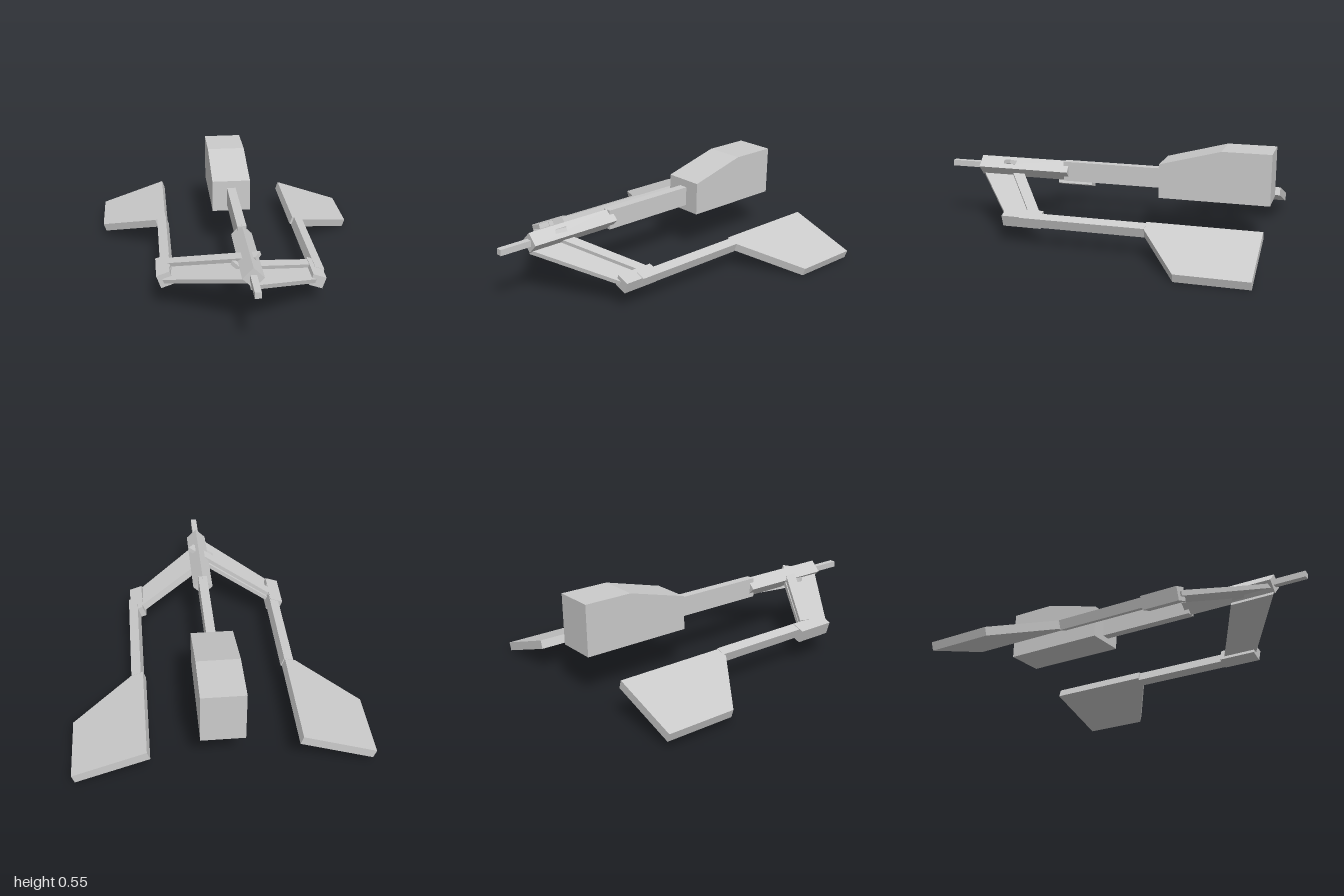
import * as THREE from 'three';

const material = new THREE.MeshStandardMaterial({ color: 0xcccccc, flatShading: true });

function add(parent, name, geometry, x = 0, y = 0, z = 0) {
  const mesh = new THREE.Mesh(geometry, material);
  mesh.name = name;
  mesh.position.set(x, y, z);
  parent.add(mesh);
  return mesh;
}

// Box running from z0 to z1
function beam(parent, name, w, h, z0, z1, x, y) {
  return add(parent, name, new THREE.BoxGeometry(w, h, z1 - z0), x, y, (z0 + z1) / 2);
}

// Flat plate from an outline of [x, z] points, centred on its thickness
function plate(outline, side, thickness) {
  const shape = new THREE.Shape(outline.map(([x, z]) => new THREE.Vector2(x * side, -z)));
  const geometry = new THREE.ExtrudeGeometry(shape, { depth: thickness, bevelEnabled: false });
  geometry.translate(0, 0, -thickness / 2);
  return geometry.rotateX(-Math.PI / 2);
}

export function createModel() {
  const model = new THREE.Group();
  model.name = 'spacecraft';
  const cx = 0.014;

  // Main hull with a sloping front roof
  const profile = new THREE.Shape([
    [1, 0.255], [1, 0.552], [0.715, 0.552], [0.355, 0.455], [0.355, 0.255],
  ].map(([a, y]) => new THREE.Vector2(a, y)));
  const hull = new THREE.ExtrudeGeometry(profile, { depth: 0.24, bevelEnabled: false });
  hull.translate(0, 0, -0.12).rotateY(Math.PI / 2);
  add(model, 'hull', hull, cx, 0, 0);

  // Central spine: boom, diamond sleeve and nose probe
  beam(model, 'boom', 0.054, 0.118, -0.36, 0.26, cx, 0.35);
  const sleeve = beam(model, 'noseSleeve', 0.085, 0.085, 0.23, 0.805, cx, 0.35);
  sleeve.rotation.z = Math.PI / 4;
  beam(model, 'noseProbe', 0.036, 0.036, 0.78, 1, cx, 0.352);

  // Drooping side assemblies; the two sides sit at slightly different heights
  const sides = [
    { name: 'left', s: 1, y: 0.306, rod: 0.47, cuff: 0.45, cuffZ: 0.26, bar: 0.01, h: 0.07 },
    { name: 'right', s: -1, y: 0.346, rod: 0.452, cuff: 0.467, cuffZ: 0.22, bar: 0.021, h: 0.08 },
  ];
  for (const { name, s, y, rod, cuff, cuffZ, bar, h } of sides) {
    const side = new THREE.Group();
    side.name = name + 'Outrigger';
    side.position.y = y;
    side.rotation.z = -s * THREE.MathUtils.degToRad(19);
    model.add(side);

    // Swept arm plate with a raised strut crossing the spine
    add(side, 'armPlate', plate([[0.01, 0.8], [0.48, 0.46], [0.44, 0.27], [0.01, 0.53]], s, 0.026), 0, -0.012);
    add(side, 'armStrut', plate([[-0.09, 0.595], [-0.055, 0.65], [0.435, 0.342], [0.42, 0.28]], s, 0.024), 0, bar);

    // Rod and its cuff
    beam(side, 'sideRod', 0.058, 0.058, -0.36, 0.38, s * rod, -0.002);
    beam(side, 'rodCuff', 0.08, h, cuffZ, cuffZ + 0.23, s * cuff, -0.01);

    // Tail wing
    add(side, 'wing', plate([[0.428, -0.355], [0.495, -0.355], [0.857, -0.595], [0.857, -1], [0.428, -1]], s, 0.05));
  }
  return model;
}
